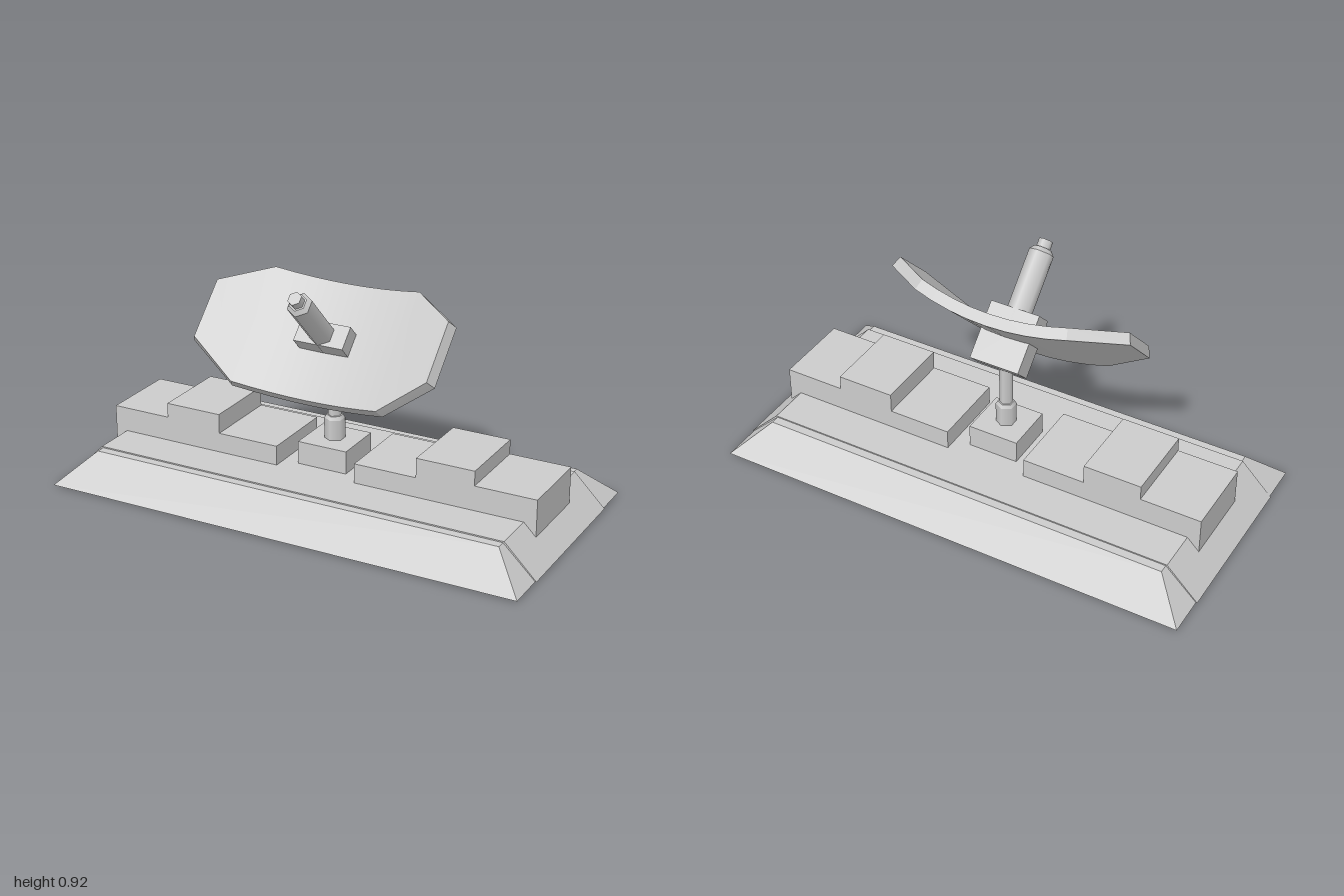
import * as THREE from 'three';
import { toCreasedNormals } from 'three/addons/utils/BufferGeometryUtils.js';

const grey = new THREE.MeshStandardMaterial({ color: 0xcccccc });

function add(parent, name, geometry) {
  const mesh = new THREE.Mesh(geometry, grey);
  mesh.name = name;
  parent.add(mesh);
  return mesh;
}

// Box given by its lower and upper corner
function block(x0, x1, y0, y1, z0, z1) {
  return new THREE.BoxGeometry(x1 - x0, y1 - y0, z1 - z0)
    .translate((x0 + x1) / 2, (y0 + y1) / 2, (z0 + z1) / 2);
}

// Box whose upper corners are pulled in to make sloping sides
function frustum(x, z, topX, topZ, y0, y1) {
  const geo = block(-x, x, y0, y1, -z, z);
  const p = geo.attributes.position;
  for (let i = 0; i < p.count; i++) {
    if (p.getY(i) > (y0 + y1) / 2) {
      p.setX(i, Math.sign(p.getX(i)) * topX);
      p.setZ(i, Math.sign(p.getZ(i)) * topZ);
    }
  }
  geo.computeVertexNormals();
  return geo;
}

// Six-sided rod standing between two heights
function hexRod(rBottom, rTop, y0, y1) {
  return new THREE.CylinderGeometry(rTop, rBottom, y1 - y0, 6)
    .translate(0, (y0 + y1) / 2, 0);
}

// Bent octagonal plate: one four-cornered section per station along x
function dishGeometry() {
  const thickness = 0.047, curve = 0.45;
  const xs = [-0.495, -0.31, -0.235, -0.155, -0.08, 0, 0.08, 0.155, 0.235, 0.31, 0.495];
  const pos = [], idx = [];
  xs.forEach((x, i) => {
    const half = Math.abs(x) > 0.4 ? 0.125 : 0.25;
    const y = 0.047 + curve * x * x;
    const slope = 2 * curve * x, len = Math.hypot(1, slope);
    const bx = x + thickness * slope / len, by = y - thickness / len;
    pos.push(x, y, -half, x, y, half, bx, by, half, bx, by, -half);
    if (i === 0) return;
    const a = (i - 1) * 4, b = i * 4;
    for (let k = 0; k < 4; k++) {
      const n = (k + 1) % 4;
      idx.push(a + k, a + n, b + n, a + k, b + n, b + k);
    }
  });
  const e = (xs.length - 1) * 4;
  idx.push(0, 2, 1, 0, 3, 2, e, e + 1, e + 2, e, e + 2, e + 3);
  const geo = new THREE.BufferGeometry();
  geo.setAttribute('position', new THREE.Float32BufferAttribute(pos, 3));
  geo.setIndex(idx);
  return toCreasedNormals(geo, Math.PI / 7);
}

export function createModel() {
  const model = new THREE.Group();
  model.name = 'dishStation';

  // Sloped foundation with a slightly raised middle
  add(model, 'base', frustum(0.995, 0.5, 0.865, 0.373, 0.005, 0.13));
  add(model, 'baseMiddle', frustum(1, 0.337, 0.87, 0.337, 0.005, 0.135));

  // Stepped housings, mirrored on both sides
  const steps = [
    ['innerHousing', 0.17, 0.43, 0.05, 0.215],
    ['tallHousing', 0.43, 0.67, 0.05, 0.295],
    ['outerHousing', 0.67, 0.92, 0, 0.235],
  ];
  for (const [name, x0, x1, y0, y1] of steps) {
    add(model, name + 'Left', block(x0, x1, y0, y1, -0.165, 0.16));
    add(model, name + 'Right', block(-x1, -x0, y0, y1, -0.165, 0.16));
  }

  // Pedestal and mast
  add(model, 'pedestal', block(-0.105, 0.105, 0.05, 0.228, -0.105, 0.105));
  add(model, 'mastCollar', hexRod(0.041, 0.041, 0.2, 0.312));
  add(model, 'mastCollarChamfer', hexRod(0.041, 0.033, 0.312, 0.326));
  add(model, 'mast', hexRod(0.027, 0.027, 0.3, 0.56));

  // Dish head, tilted forward and up
  const head = new THREE.Group();
  head.name = 'dishHead';
  head.position.set(0, 0.61, 0.02);
  head.rotation.x = Math.PI / 4;
  model.add(head);
  add(head, 'dish', dishGeometry());
  add(head, 'mountBlock', block(-0.105, 0.105, -0.117, 0.117, -0.048, 0.048));
  add(head, 'feedArm', hexRod(0.05, 0.05, 0.05, 0.355));
  add(head, 'feedChamfer', hexRod(0.05, 0.035, 0.355, 0.373));
  add(head, 'feedTip', hexRod(0.028, 0.028, 0.36, 0.406));

  return model;
}
